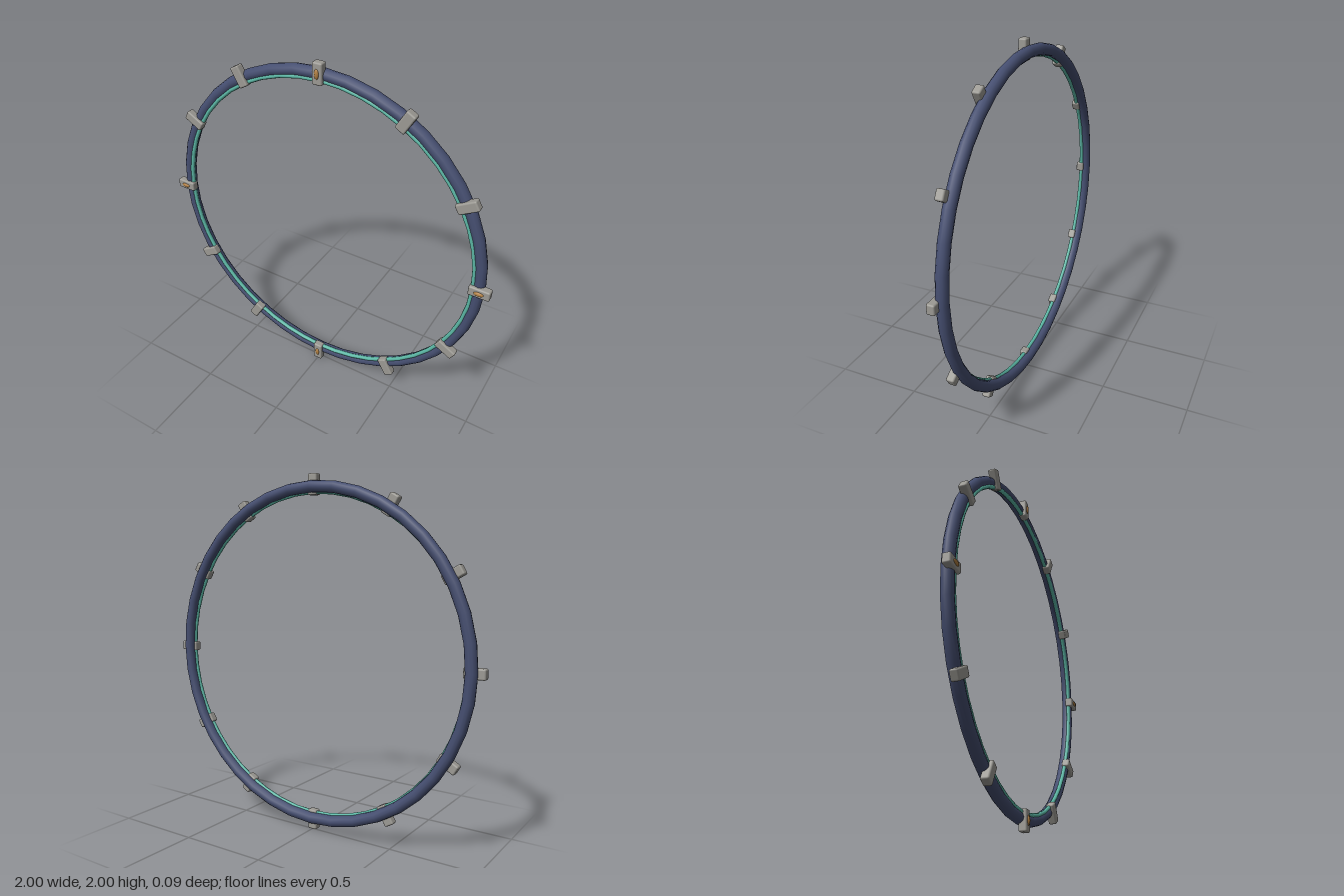
import * as THREE from 'three';
import { RoundedBoxGeometry } from 'three/addons/geometries/RoundedBoxGeometry.js';

const paint = (color) => new THREE.MeshStandardMaterial({ color });

export function createModel() {
  const model = new THREE.Group();
  model.name = 'hoop';
  const ring = new THREE.Group();
  ring.name = 'ringAssembly';
  ring.position.y = 1;
  model.add(ring);

  const add = (parent, name, geometry, material, x, y, z) => {
    const mesh = new THREE.Mesh(geometry, material);
    mesh.name = name;
    mesh.position.set(x, y, z);
    parent.add(mesh);
    return mesh;
  };

  // main tube and the thin band set into its inner front edge
  add(ring, 'mainRing', new THREE.TorusGeometry(0.931, 0.032, 12, 40), paint(0x454e70), 0, 0, -0.011);
  add(ring, 'innerBand', new THREE.TorusGeometry(0.903, 0.012, 8, 48), paint(0x5cb8a6), 0, 0, 0.006);

  // twelve clips around the front, every third one with a stud
  const clipShape = new RoundedBoxGeometry(0.056, 0.115, 0.045, 2, 0.009);
  const studShape = new THREE.SphereGeometry(1, 16, 10);
  const clipPaint = paint(0x9c9a94);
  const studPaint = paint(0xb07f42);
  for (let i = 0; i < 12; i++) {
    const holder = new THREE.Group();
    holder.name = `clip${i + 1}`;
    holder.rotation.z = (i * Math.PI) / 6;
    ring.add(holder);
    add(holder, 'clipBlock', clipShape, clipPaint, 0, 0.9425, 0.0125);
    if (i % 3 === 0) {
      add(holder, 'stud', studShape, studPaint, 0, 0.9425, 0.033).scale.set(0.013, 0.027, 0.011);
    }
  }
  return model;
}
